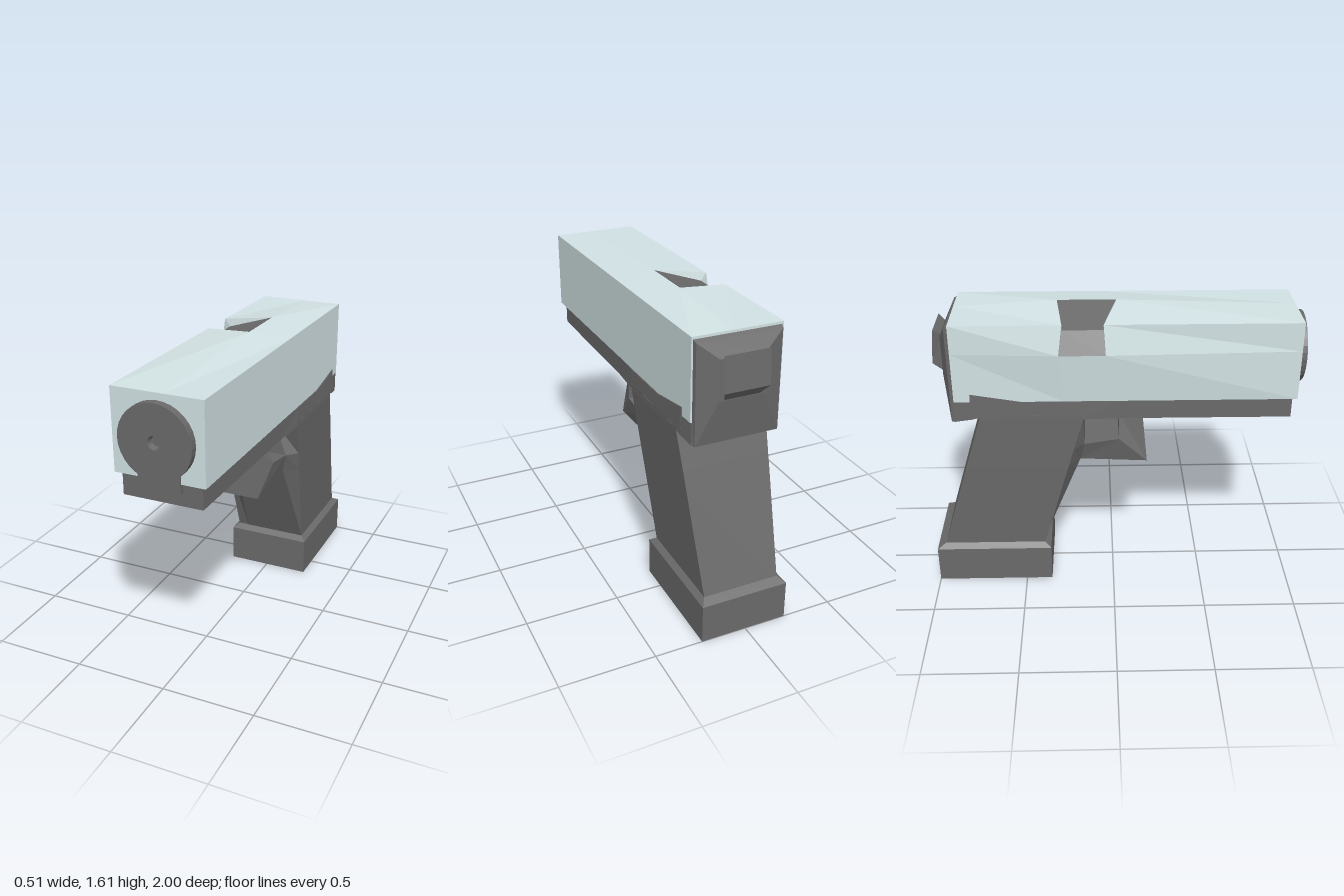
import * as THREE from 'three';

const dark = new THREE.MeshStandardMaterial({ color: 0x6a6a6a, flatShading: true, side: THREE.DoubleSide });
const pale = new THREE.MeshStandardMaterial({ color: 0xd2e2e4, flatShading: true, side: THREE.DoubleSide });

// Flat-shaded mesh from triangles, turned to face outwards if it encloses a volume
function facets(name, tris, material) {
  const c = new THREE.Vector3();
  let volume = 0;
  tris.forEach(t => volume += t[0].dot(c.crossVectors(t[1], t[2])));
  const pts = tris.flatMap(t => volume < 0 ? [t[0], t[2], t[1]] : t);
  const geo = new THREE.BufferGeometry().setFromPoints(pts);
  geo.computeVertexNormals();
  const mesh = new THREE.Mesh(geo, material);
  mesh.name = name;
  return mesh;
}

// Joins equal-sized rings of [x, y, z] points; skip(i, j) leaves a quad open
function loft(name, rings, material, skip = () => false) {
  const R = rings.map(r => r.map(p => new THREE.Vector3(...p)));
  const n = R[0].length, tris = [];
  for (let i = 0; i < R.length - 1; i++) {
    for (let j = 0; j < n; j++) {
      if (skip(i, j)) continue;
      const k = (j + 1) % n;
      const [a, b, c, d] = [R[i][j], R[i][k], R[i + 1][k], R[i + 1][j]];
      tris.push([a, b, c], [a, c, d]);
    }
  }
  const cap = (r, flip) => {
    const m = r.reduce((s, p) => s.add(p), new THREE.Vector3()).divideScalar(n);
    r.forEach((p, j) => tris.push(flip ? [m, r[(j + 1) % n], p] : [m, p, r[(j + 1) % n]]));
  };
  cap(R[0], true);
  cap(R[R.length - 1], false);
  return facets(name, tris, material);
}

// Rectangular rings, upright (constant z) or level (constant y)
const upright = (x0, x1, y0, y1, z) => [[x0, y0, z], [x1, y0, z], [x1, y1, z], [x0, y1, z]];
const level = (x0, x1, z0, z1, y) => [[x0, y, z0], [x1, y, z0], [x1, y, z1], [x0, y, z1]];

function addSlide(g) {
  // Ring: bottom, side middle, top corner, top ridge, far top, far bottom
  const ring = (zEnd, zMid, zRidge, side, top) => [
    [-0.23, 1.15, zEnd], [side, 1.42, zMid], [-0.23, 1.575, zEnd],
    [0.04, top, zRidge], [0.245, 1.575, zEnd], [0.245, 1.15, zEnd]];
  const rings = [
    ring(0.96, 0.96, 0.96, -0.23, 1.575),
    ring(-0.05, -0.04, 0.02, -0.26, 1.605),
    ring(-0.26, -0.28, -0.29, -0.26, 1.605),
    ring(-0.83, -0.83, -0.83, -0.23, 1.575)];
  g.add(loft('slide', rings, pale, (i, j) => i === 1 && (j === 1 || j === 2)));

  // Recessed port with its two end walls
  const v = p => new THREE.Vector3(...p);
  const [f, b] = [rings[1], rings[2]].map(r => {
    const [side, corner, ridge] = r.slice(1, 4).map(v);
    return { side, corner, ridge, low: v([-0.2, 1.535, r[2][2]]) };
  });
  const quad = (a, c, d, e) => [[a, c, d], [a, d, e]];
  g.add(facets('portFloor', [...quad(f.side, f.low, b.low, b.side), ...quad(f.low, f.ridge, b.ridge, b.low)], dark));
  g.add(facets('portWalls', [f, b].flatMap(e => quad(e.low, e.side, e.corner, e.ridge)), pale));
}

function addFrame(g) {
  // [z, side x0, side x1, side bottom, belly x0, belly x1, belly bottom, top]
  const rows = [
    [0.94, -0.2, 0.22, 1.03, -0.15, 0.17, 1.03, 1.15],
    [0.03, -0.222, 0.241, 1.043, -0.11, 0.13, 1.0, 1.15],
    [-0.16, -0.235, 0.255, 1.045, -0.12, 0.14, 1.045, 1.15],
    [-0.48, -0.235, 0.255, 1.05, -0.12, 0.14, 1.05, 1.15],
    [-0.7, -0.235, 0.255, 1.06, -0.12, 0.14, 1.06, 1.187],
    [-0.745, -0.235, 0.255, 1.05, -0.12, 0.14, 1.05, 1.195],
    [-0.746, -0.235, 0.255, 1.05, -0.12, 0.14, 1.05, 1.15],
    [-0.835, -0.225, 0.24, 1.033, -0.12, 0.14, 1.033, 1.15]];
  g.add(loft('frame', rows.map(([z, x0, x1, ys, b0, b1, yb, top]) => [
    [x0, ys, z], [b0, yb, z], [b1, yb, z], [x1, ys, z],
    [Math.min(x1, 0.25), top, z], [Math.max(x0, -0.232), top, z]]), dark));

  // Rear plate and the raised block on it
  g.add(loft('rearPlate', [
    upright(-0.222, 0.237, 1.034, 1.565, -0.825),
    upright(-0.215, 0.23, 1.03, 1.55, -0.85),
    upright(-0.11, 0.13, 1.26, 1.47, -0.89)], dark));
  g.add(loft('rearBlock', [
    upright(-0.08, 0.1, 1.26, 1.47, -0.885),
    [[-0.11, 1.32, -0.94], [0.13, 1.32, -0.94], [0.13, 1.5, -0.925], [-0.11, 1.5, -0.925]]], dark));

  // Neck below the muzzle
  g.add(loft('muzzleNeck', [upright(-0.1, 0.12, 1.1, 1.2, 0.9), upright(-0.1, 0.12, 1.1, 1.2, 0.97)], dark));
}

function addGrip(g) {
  // [y, side x0, side x1, back z, side front z, inner x0, inner x1, inner front z]
  const rows = [
    [1.07, -0.235, 0.255, -0.70, -0.16, -0.1, 0.12, -0.16],
    [1.045, -0.235, 0.254, -0.705, -0.16, -0.1, 0.12, -0.16],
    [0.86, -0.227, 0.245, -0.762, -0.212, -0.175, 0.19, -0.155],
    [0.75, -0.223, 0.24, -0.796, -0.243, -0.14, 0.165, -0.18],
    [0.23, -0.2, 0.215, -0.955, -0.39, -0.14, 0.16, -0.39]];
  g.add(loft('grip', rows.map(([y, x0, x1, zb, zs, i0, i1, zi]) => [
    [x0, y, zb], [x0, y, zs], [i0, y, zi], [i1, y, zi], [x1, y, zs], [x1, y, zb]]), dark));

  // Base with a bevelled shoulder
  g.add(loft('gripBase', [
    level(-0.23, 0.245, -1, -0.355, 0),
    level(-0.23, 0.245, -1, -0.355, 0.21),
    level(-0.2, 0.215, -0.955, -0.39, 0.235)], dark));

  // Guard bends from the frame back to the grip: outer edge, then inner edge
  const guardRing = (ox0, ox1, oy, oz, ix0, ix1, iy, iz) =>
    [[ox0, oy, oz], [ox1, oy, oz], [ix1, iy, iz], [ix0, iy, iz]];
  g.add(loft('guard', [
    guardRing(-0.11, 0.13, 1.015, 0.158, -0.11, 0.13, 1.015, 0.03),
    guardRing(-0.145, 0.165, 0.735, 0.185, -0.175, 0.19, 0.89, 0.03),
    guardRing(-0.14, 0.165, 0.75, -0.185, -0.175, 0.19, 0.86, -0.16)], dark));
}

function addMuzzle(g) {
  // Disc with a small central recess
  const profile = [[0.19, 0.95], [0.19, 1], [0.034, 1], [0.027, 0.97], [0, 0.97]]
    .map(p => new THREE.Vector2(...p));
  const muzzle = new THREE.Mesh(new THREE.LatheGeometry(profile, 32).rotateX(Math.PI / 2), dark);
  muzzle.position.set(0.01, 1.35, 0);
  muzzle.name = 'muzzleDisc';
  g.add(muzzle);
}

export function createModel() {
  const g = new THREE.Group();
  g.name = 'lowPolyPistol';
  [addSlide, addFrame, addGrip, addMuzzle].forEach(add => add(g));
  return g;
}
